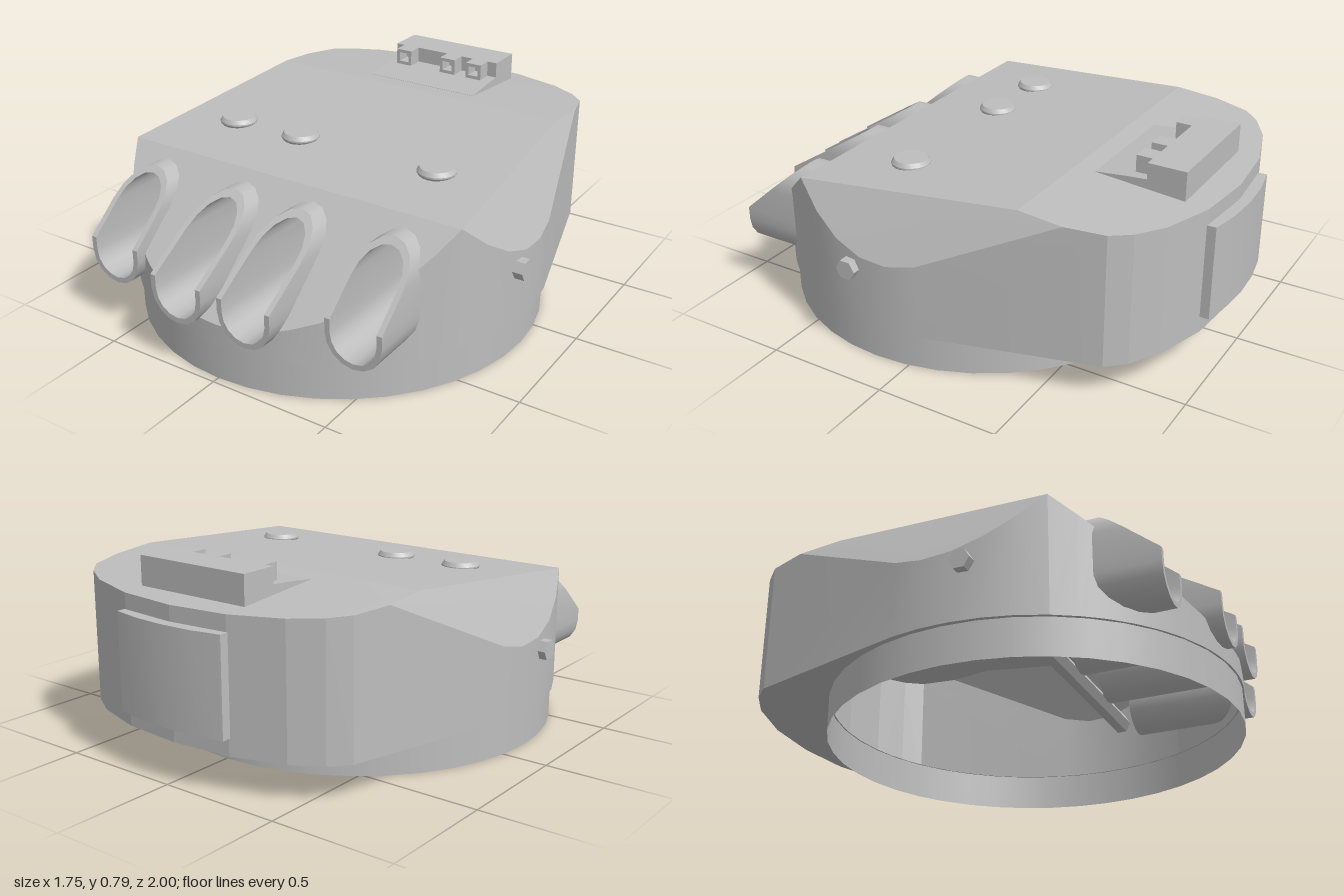
import * as THREE from 'three';
import { toCreasedNormals } from 'three/addons/utils/BufferGeometryUtils.js';
import { ConvexGeometry } from 'three/addons/geometries/ConvexGeometry.js';

const R = 0.847, CZ = 0.13;             // rounded front of the gunhouse
const FLOOR = 0.15, FRONT_Z = 0.52, FRONT_Y = 0.635;
const EDGE_ANGLE = Math.asin((FRONT_Z - CZ) / R), REAR_ANGLE = -0.215;
const GUNS = [[-0.55, 0.9], [-0.155, 1], [0.155, 1], [0.55, 0.9]]; // x, front z
const LOW = 0.317, HIGH = 0.483, BEND = 0.37, PORT = 0.117;

// top of the wall above a point: lowest of roof, side and front slopes
function topY(x, z) {
  const roof = Math.min(FRONT_Y + (FRONT_Z - z) * 0.0815, 0.71 + (z + 0.4) * 0.082);
  const side = FRONT_Y - 1.957 * (Math.abs(x) - 0.755) + 0.078 * (z - FRONT_Z);
  const front = FRONT_Y - 0.87 * (z - FRONT_Z);
  return Math.min(roof, side, front);
}

// left half of the plan, front centre to rear centre
function halfPlan() {
  const pts = [];
  const arc = t => pts.push([R * Math.cos(t), CZ + R * Math.sin(t)]);
  for (let i = 0; i < 9; i++) arc(Math.PI / 2 + (EDGE_ANGLE - Math.PI / 2) * i / 9);
  for (let i = 0; i <= 5; i++) arc(EDGE_ANGLE + (REAR_ANGLE - EDGE_ANGLE) * i / 5);
  pts.push([0.681, -0.58], [0.64, -0.73], [0.575, -0.8], [0.46, -0.87], [0.25, -0.935], [0, -0.957]);
  return pts;
}

function fromTriangles(positions, crease) {
  const g = new THREE.BufferGeometry();
  g.setAttribute('position', new THREE.Float32BufferAttribute(positions, 3));
  return toCreasedNormals(g, crease);
}

// roof, sides and rear: a convex hull without its floor and front
function shellGeometry(plan) {
  const pts = [];
  for (const [x, z] of plan) for (const s of [-1, 1])
    pts.push(new THREE.Vector3(s * x, FLOOR, z), new THREE.Vector3(s * x, topY(x, z), z));
  pts.push(new THREE.Vector3(0.68, 0.71, -0.4), new THREE.Vector3(-0.68, 0.71, -0.4));
  const p = new ConvexGeometry(pts).getAttribute('position');
  const kept = [];
  for (let i = 0; i < p.count; i += 3) {
    const cz = (p.getZ(i) + p.getZ(i + 1) + p.getZ(i + 2)) / 3;
    const maxY = Math.max(p.getY(i), p.getY(i + 1), p.getY(i + 2));
    if (cz > FRONT_Z + 0.001 || maxY < FLOOR + 0.001) continue;
    for (let k = i; k < i + 3; k++) kept.push(p.getX(k), p.getY(k), p.getZ(k));
  }
  return fromTriangles(kept, 0.15);
}

// curved front wall and sloped face in vertical strips, with gun ports left open
function frontGeometry(plan) {
  const r = PORT - 0.006, out = [];
  const xs = [];
  for (const [x, z] of plan) if (z > FRONT_Z - 0.001) xs.push(x, -x);
  for (const [gx] of GUNS) for (let i = 0; i <= 12; i++) xs.push(gx - r * Math.cos(Math.PI * i / 12));
  xs.sort((a, b) => a - b);
  const wallZ = x => CZ + Math.sqrt(R * R - x * x);
  const crease = x => FRONT_Y - 0.87 * (wallZ(x) - FRONT_Z);
  const point = (x, y) => [x, y, Math.min(wallZ(x), FRONT_Z + (FRONT_Y - y) / 0.87)];
  for (let i = 0; i < xs.length - 1; i++) {
    const ends = [xs[i], xs[i + 1]];
    if (ends[1] - ends[0] < 1e-5) continue;
    const gun = GUNS.find(g => Math.abs((ends[0] + ends[1]) / 2 - g[0]) < r);
    const levels = ends.map(x => {
      const c = crease(x);
      const h = gun ? Math.sqrt(Math.max(0, r * r - (x - gun[0]) ** 2)) : 0;
      const lo = gun ? LOW - h : c, hi = gun ? HIGH + h : c;
      return [FLOOR, Math.min(c, lo), lo, hi, Math.max(c, hi), FRONT_Y];
    });
    for (const k of [0, 1, 3, 4]) {
      const a = point(ends[0], levels[0][k]), b = point(ends[1], levels[1][k]);
      const c = point(ends[1], levels[1][k + 1]), d = point(ends[0], levels[0][k + 1]);
      if (c[1] - b[1] > 1e-5) out.push(...a, ...b, ...c);
      if (d[1] - a[1] > 1e-5) out.push(...a, ...c, ...d);
    }
  }
  return fromTriangles(out, 0.3);
}

// upright rounded slot outline
function slot(r) {
  const pts = [], n = 8;
  for (let i = 0; i <= n; i++) pts.push([r * Math.cos(Math.PI * i / n), HIGH + r * Math.sin(Math.PI * i / n)]);
  pts.push([-r, BEND]);
  for (let i = 0; i <= n; i++) pts.push([-r * Math.cos(Math.PI * i / n), LOW - r * Math.sin(Math.PI * i / n)]);
  pts.push([r, BEND]);
  return pts;
}

// hollow gun sleeve, its upper front cut back on a slope
function sleeveGeometry(frontZ, backZ) {
  const cut = y => y <= BEND ? frontZ : frontZ + (0.63 - frontZ) * (y - BEND) / (0.6 - BEND);
  const outer = slot(PORT), inner = slot(PORT - 0.022);
  const rings = [
    outer.map(([x, y]) => [x, y, backZ]), outer.map(([x, y]) => [x, y, cut(y)]),
    inner.map(([x, y]) => [x, y, cut(y)]), inner.map(([x, y]) => [x, y, backZ]),
  ];
  const out = [], n = outer.length;
  for (let j = 0; j < 3; j++) for (let i = 0; i < n; i++) {
    const k = (i + 1) % n;
    const a = rings[j][i], b = rings[j][k], c = rings[j + 1][k], d = rings[j + 1][i];
    out.push(...a, ...b, ...c, ...a, ...c, ...d);
  }
  return fromTriangles(out, 0.5);
}

const vectors = pts => pts.map(([x, y]) => new THREE.Vector2(x, y));
const shapeOf = pts => new THREE.Shape(vectors(pts));
const extrude = (shape, depth) => new THREE.ExtrudeGeometry(shape, { depth, bevelEnabled: false });

export function createModel() {
  const group = new THREE.Group();
  const grey = new THREE.MeshStandardMaterial({ color: 0xbdbdbd, side: THREE.DoubleSide });
  grey.name = 'armour grey';
  const add = (name, geometry, x = 0, y = 0, z = 0) => {
    const m = new THREE.Mesh(geometry, grey);
    m.name = name;
    m.position.set(x, y, z);
    group.add(m);
  };

  // gunhouse
  const plan = halfPlan();
  add('gunhouseShell', shellGeometry(plan));
  add('gunhouseFront', frontGeometry(plan));

  // floor around the open turning ring
  const loop = [...plan, ...plan.slice(1, -1).reverse().map(([x, z]) => [-x, z])];
  const floorShape = shapeOf(loop);
  floorShape.holes.push(new THREE.Path().absarc(0, 0.143, 0.822, 0, Math.PI * 2, true));
  add('gunhouseFloor', new THREE.ShapeGeometry(floorShape, 24).rotateX(Math.PI / 2), 0, FLOOR, 0);
  add('baseRing', new THREE.CylinderGeometry(0.828, 0.828, FLOOR, 40, 1, true), 0, FLOOR / 2, 0.143);

  // gun sleeves with closed inner ends
  const back = 0.4;
  for (const [x, frontZ] of GUNS) {
    add('gunSleeve', sleeveGeometry(frontZ, back), x);
    add('sleeveEnd', new THREE.ShapeGeometry(shapeOf(slot(PORT))), x, 0, back);
  }

  // cross bar poking out of both sides
  const bar = new THREE.CylinderGeometry(0.042, 0.042, 1.75, 6).rotateZ(Math.PI / 2);
  add('sightBar', toCreasedNormals(bar, 0.3), 0, 0.376, 0.23);

  // roof hatches, level rims with a raised lid
  const hatch = toCreasedNormals(new THREE.LatheGeometry(vectors(
    [[0.064, -0.02], [0.077, 0], [0.077, 0.006], [0.066, 0.022], [0, 0.022]]), 20), 0.4);
  for (const x of [-0.475, -0.16, 0.47]) add('roofHatch', hatch, x, 0.664, 0.205);

  // sight housing on the roof, with a low ramp ahead of it
  add('sightHousing', new THREE.BoxGeometry(0.51, 0.13, 0.155), 0, 0.725, -0.7675);
  const ramp = shapeOf([[0.48, 0.69], [0.48, 0.7045], [0.62, 0.719], [0.70, 0.725], [0.70, 0.68]]);
  add('sightRamp', extrude(ramp, 0.51).rotateY(Math.PI / 2), -0.255);

  // hollow sight windows
  const frame = shapeOf([[-0.037, 0], [0.037, 0], [0.037, 0.068], [-0.037, 0.068]]);
  frame.holes.push(new THREE.Path(vectors([[-0.023, 0.014], [-0.023, 0.054], [0.023, 0.054], [0.023, 0.014]])));
  const frameGeometry = extrude(frame, 0.07);
  for (const x of [-0.178, 0.045, 0.175]) add('sightWindow', frameGeometry, x, 0.722, -0.695);

  // curved plate on the rear wall
  const plate = shapeOf([[-0.255, 0.9], [-0.255, 0.97], [-0.13, 0.993], [0, 1], [0.13, 0.993], [0.255, 0.97], [0.255, 0.9]]);
  add('rearPlate', toCreasedNormals(extrude(plate, 0.385).rotateX(-Math.PI / 2), 0.3), 0, 0.218, 0);

  return group;
}
